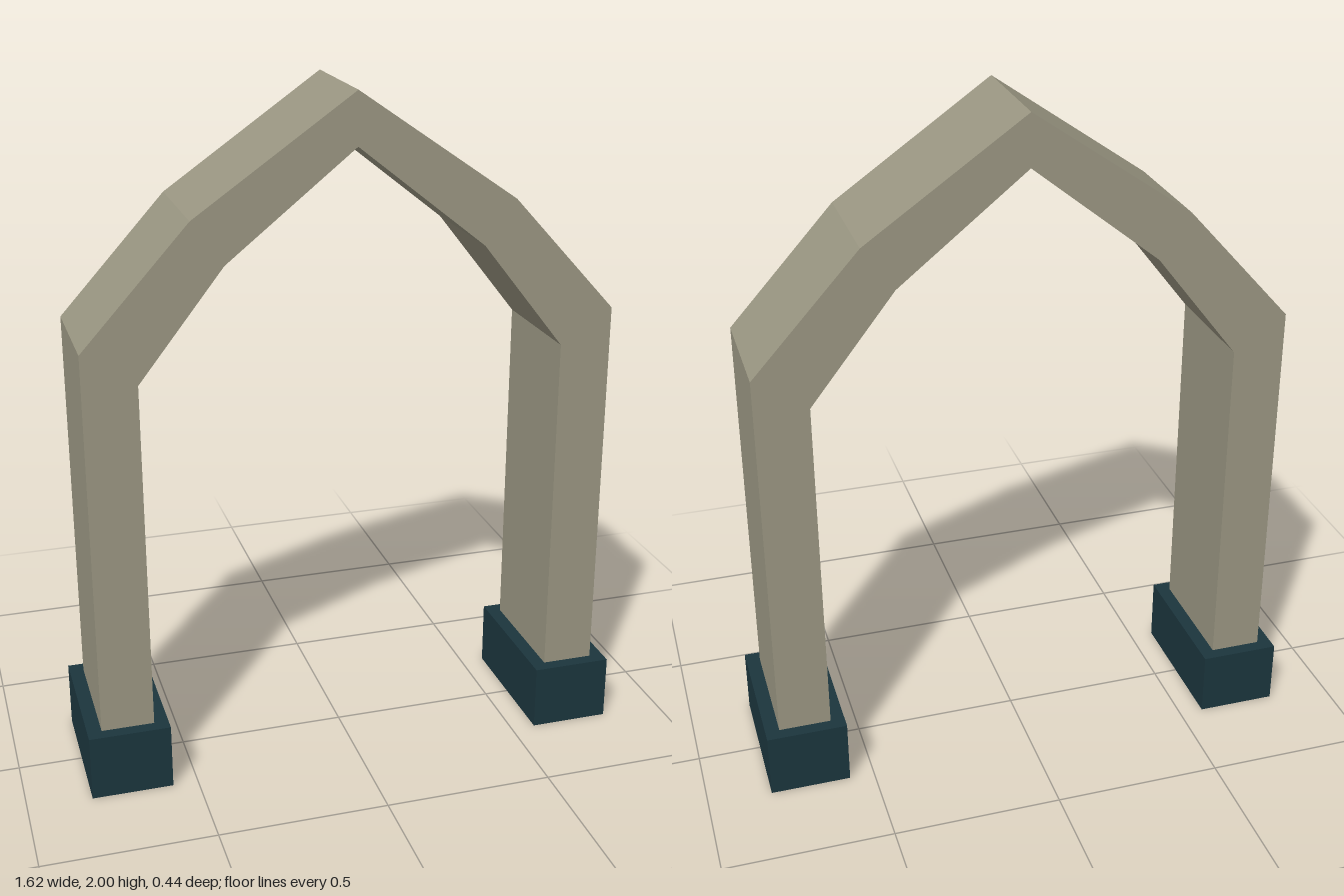
import * as THREE from 'three';

const stone = new THREE.MeshStandardMaterial({ color: 0x9a9682, flatShading: true });
const dark = new THREE.MeshStandardMaterial({ color: 0x1b353d, flatShading: true });

// Closed outline from [x, y] pairs
const outline = (pts, Type = THREE.Shape) => new Type(pts.map(([x, y]) => new THREE.Vector2(x, y)));

// Corners of a rectangle centred on the origin
const rect = (hx, hy) => [[-hx, -hy], [hx, -hy], [hx, hy], [-hx, hy]];

export function createModel() {
  const group = new THREE.Group();
  const legX = 0.693, legHalfWidth = 0.077, halfDepth = 0.184, baseHeight = 0.197;

  // Pointed arch: one half profile, mirrored across x = 0
  const outer = [[0.77, 0], [0.77, 1.34], [0.461, 1.68]];
  const inner = [[0.616, 0], [0.616, 1.24], [0.371, 1.553]];
  const mirror = (pts) => pts.map(([x, y]) => [-x, y]).reverse();
  const profile = [
    ...outer, [0, 2], ...mirror(outer),
    ...mirror(inner).reverse(), [0, 1.85], ...[...inner].reverse(),
  ];
  const archGeo = new THREE.ExtrudeGeometry(outline(profile), { depth: 2 * halfDepth, bevelEnabled: false });
  archGeo.translate(0, 0, -halfDepth);
  const arch = new THREE.Mesh(archGeo, stone);
  arch.name = 'arch';
  group.add(arch);

  // Base collars wrapped around the foot of each leg
  const collar = outline(rect(0.119, 0.222));
  collar.holes.push(outline(rect(legHalfWidth, halfDepth), THREE.Path));
  const baseGeo = new THREE.ExtrudeGeometry(collar, { depth: baseHeight, bevelEnabled: false });
  baseGeo.rotateX(-Math.PI / 2);
  for (const [name, side] of [['leftBase', 1], ['rightBase', -1]]) {
    const base = new THREE.Mesh(baseGeo, dark);
    base.name = name;
    base.position.x = side * legX;
    group.add(base);
  }
  return group;
}
